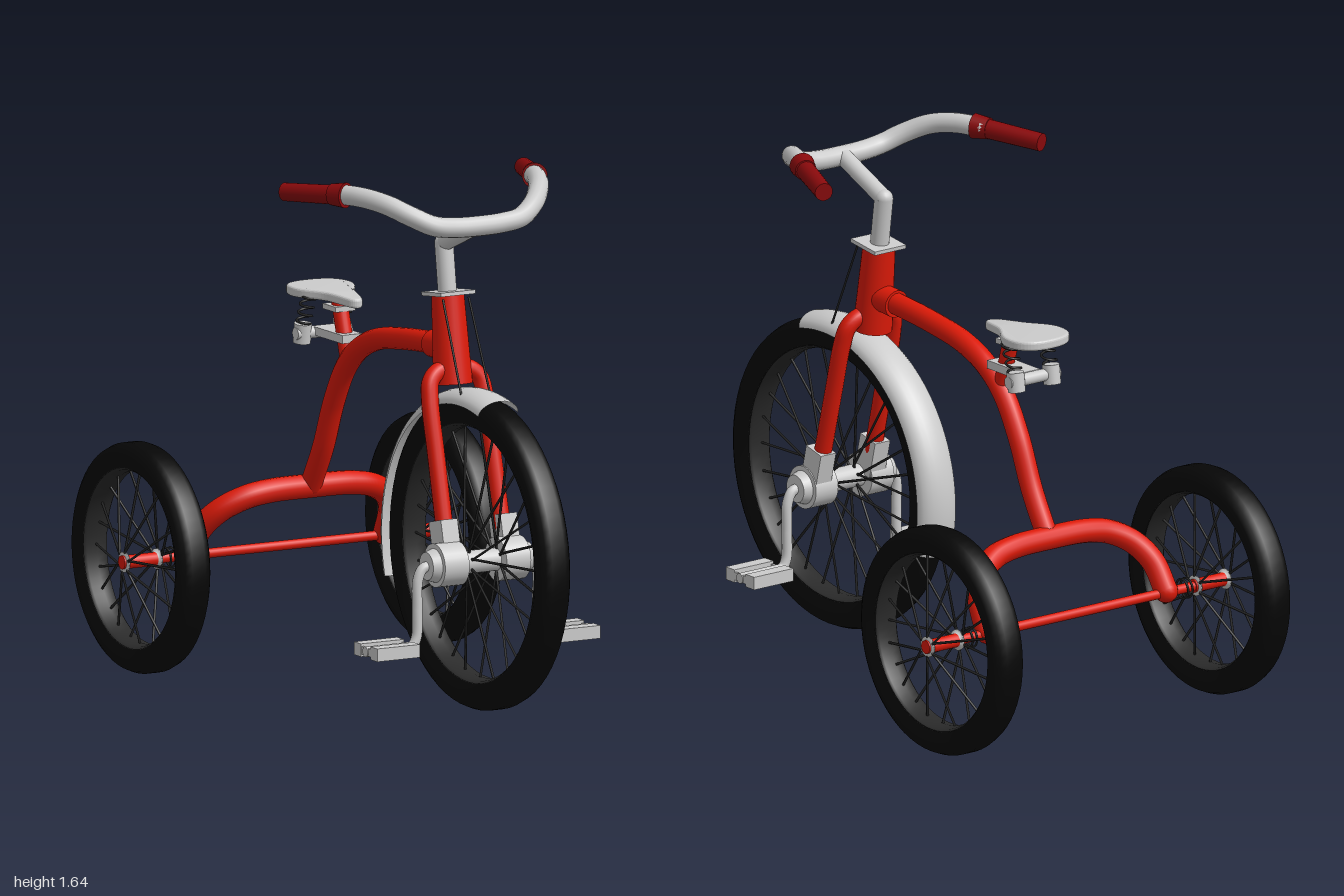
import * as THREE from 'three';

const mat = (color) => new THREE.MeshStandardMaterial({ color });
const V = (x, y, z) => new THREE.Vector3(x, y, z);

export function createModel() {
  const root = new THREE.Group();
  const grey = mat(0xcccccc), red = mat(0xdc1a08), grip = mat(0x8a0a0c);
  const black = mat(0x060606), dark = mat(0x222222);
  const thin = mat(0xcccccc), rimDark = mat(0x2a2a2a);
  thin.side = rimDark.side = THREE.DoubleSide;

  function add(parent, name, geometry, material, x = 0, y = 0, z = 0) {
    const m = new THREE.Mesh(geometry, material);
    m.name = name;
    m.position.set(x, y, z);
    parent.add(m);
    return m;
  }
  function group(name, x = 0, y = 0, z = 0) {
    const g = new THREE.Group();
    g.name = name;
    g.position.set(x, y, z);
    root.add(g);
    return g;
  }
  // Straight cylinder from a (radius ra) to b (radius rb)
  function rod(parent, name, a, b, ra, material, rb = ra, sides = 20) {
    const d = b.clone().sub(a);
    const m = add(parent, name, new THREE.CylinderGeometry(rb, ra, d.length(), sides), material);
    m.position.copy(a).add(b).multiplyScalar(0.5);
    m.quaternion.setFromUnitVectors(V(0, 1, 0), d.normalize());
    return m;
  }
  // Smooth bent tube with rounded ends
  function pipe(parent, name, pts, r, material, seg = 48) {
    const p = pts.map((q) => V(...q));
    const g = new THREE.Group();
    g.name = name;
    parent.add(g);
    const curve = new THREE.CatmullRomCurve3(p, false, 'centripetal');
    add(g, name + 'Tube', new THREE.TubeGeometry(curve, seg, r, 14), material);
    for (const e of [p[0], p[p.length - 1]])
      add(g, name + 'End', new THREE.SphereGeometry(r, 14, 10), material, e.x, e.y, e.z);
    return g;
  }
  // Lathe whose axis lies along x; points are [radius, x]
  function latheX(parent, name, pts, material, seg = 48, start = 0, length = Math.PI * 2) {
    const p = pts.map(([r, x]) => new THREE.Vector2(r, x));
    const m = add(parent, name, new THREE.LatheGeometry(p, seg, start, length), material);
    m.rotation.z = Math.PI / 2;
    return m;
  }

  // Spoked wheel: rounded tyre, rim, crossing spokes from flanges at +-flange
  function wheel(name, x, y, z, R, inner, w, count, flange, hubY, hubZ) {
    const g = group(name, x, y, z);
    const tyre = [[inner, -w * 0.72], [inner + 0.03, -w * 0.96], [(R + inner) / 2, -w], [R - 0.025, -w * 0.95],
      [R - 0.008, -w * 0.75], [R, -w * 0.4]];
    const mirror = tyre.map(([r, h]) => [r, -h]).reverse();
    latheX(g, 'tyre', [...tyre, ...mirror], black, 64);
    // Profile runs from +x to -x so the rim faces the hub
    latheX(g, 'rim', [[inner + 0.002, w * 0.74], [inner - 0.006, w * 0.6], [inner - 0.012, 0],
      [inner - 0.006, -w * 0.6], [inner + 0.002, -w * 0.74]], rimDark, 64);
    for (let i = 0; i < count; i++) {
      const a = (i / count) * Math.PI * 2, s = i % 2 ? 1 : -1;
      const b = a + (i % 4 < 2 ? 0.3 : -0.3);
      rod(g, 'spoke', V(s * flange, hubY + Math.sin(b) * 0.03, hubZ + Math.cos(b) * 0.03),
        V(0, Math.sin(a) * inner, Math.cos(a) * inner), 0.004, dark, 0.004, 6);
    }
    return g;
  }

  // Front wheel and its mudguard
  wheel('frontWheel', 0, 0.507, 0.52, 0.48, 0.395, 0.055, 28, 0.05, -0.02, 0.007);
  const guard = group('mudguard', 0, 0.501, 0.512);
  const arc = [];
  for (let i = 0; i <= 12; i++) {
    const a = (i / 12 - 0.5) * Math.PI;
    arc.push([0.462 + 0.045 * Math.cos(a), 0.07 * Math.sin(a)]);
  }
  latheX(guard, 'mudguardShell', arc, thin, 40, 1.31, 2.12);

  // Front hub, cranks and pedals
  const hub = group('frontHub', -0.013, 0.482, 0.527);
  rod(hub, 'hubShell', V(-0.07, 0, 0), V(0.07, 0, 0), 0.035, grey, 0.035, 24);
  for (const s of [-1, 1]) {
    rod(hub, 'hubDrum', V(s * 0.065, 0, 0), V(s * 0.15, 0, 0), 0.067, grey, 0.067, 28);
    rod(hub, 'hubCap', V(s * 0.15, 0, 0), V(s * 0.178, 0, 0), 0.052, grey, 0.043, 28);
    pipe(hub, 'crank', [[s * 0.16, 0, 0], [s * 0.19, -0.005, 0], [s * 0.208, -0.04, 0], [s * 0.21, -0.13, 0],
      [s * 0.213, -0.215, 0], [s * 0.228, -0.24, 0], [s * 0.26, -0.243, 0]], 0.016, grey);
    rod(hub, 'pedalAxle', V(s * 0.23, -0.243, 0), V(s * 0.392, -0.243, 0), 0.016, grey);
    for (const dz of [-0.049, 0.049])
      add(hub, 'pedalBlock', new THREE.BoxGeometry(0.15, 0.04, 0.042), grey, s * 0.315, -0.243, dz);
    for (const dx of [0.245, 0.385])
      add(hub, 'pedalPlate', new THREE.BoxGeometry(0.008, 0.024, 0.12), grey, s * dx, -0.243, 0);
  }

  // Fork and head
  const fork = group('fork');
  for (const s of [-1, 1]) {
    pipe(fork, 'forkLeg', [[0, 1.045, 0.36], [s * 0.05, 1.045, 0.362], [s * 0.085, 1.017, 0.37],
      [s * 0.096, 0.96, 0.385], [s * 0.098, 0.8, 0.425], [s * 0.1, 0.57, 0.482]], 0.027, red);
    const lug = add(fork, 'forkLug', new THREE.BoxGeometry(0.058, 0.12, 0.075), grey, s * 0.104, 0.55, 0.492);
    lug.rotation.x = -0.24;
    rod(fork, 'mudguardStay', V(s * 0.045, 1.265, 0.375), V(s * 0.05, 0.965, 0.505), 0.0035, dark, 0.0035, 6);
  }
  rod(fork, 'headTube', V(0, 1.0, 0.358), V(0, 1.27, 0.326), 0.06, red, 0.05, 28);
  const plate = add(fork, 'headPlate', new THREE.BoxGeometry(0.12, 0.012, 0.12), grey, 0, 1.275, 0.33);
  plate.rotation.x = -0.12;

  // Stem, handlebar and grips
  const bars = group('handlebars');
  rod(bars, 'stem', V(0, 1.26, 0.326), V(0, 1.425, 0.303), 0.029, grey);
  add(bars, 'stemElbow', new THREE.SphereGeometry(0.029, 16, 12), grey, 0, 1.425, 0.303);
  rod(bars, 'stemExtension', V(0, 1.425, 0.303), V(0, 1.508, 0.5), 0.027, grey);
  const half = [[0.08, 1.511, 0.51], [0.15, 1.521, 0.505], [0.21, 1.55, 0.475], [0.265, 1.583, 0.415],
    [0.305, 1.597, 0.34], [0.34, 1.597, 0.25]];
  const flip = half.map(([x, y, z]) => [-x, y, z]).reverse();
  pipe(bars, 'handlebar', [...flip, [0, 1.509, 0.512], ...half], 0.031, grey, 90);
  for (const s of [-1, 1]) {
    rod(bars, 'gripCollar', V(s * 0.33, 1.597, 0.282), V(s * 0.352, 1.595, 0.235), 0.039, grip, 0.033);
    rod(bars, 'grip', V(s * 0.345, 1.595, 0.25), V(s * 0.418, 1.581, 0.062), 0.03, grip, 0.028);
  }

  // Main frame: backbone, rear arch and axle
  const frame = group('frame');
  pipe(frame, 'backbone', [[0, 1.11, 0.33], [0, 1.105, 0.22], [0, 1.09, 0.06], [0, 1.065, -0.09], [0, 1.02, -0.2],
    [0, 0.95, -0.285], [0, 0.83, -0.36], [0, 0.68, -0.425], [0, 0.55, -0.5]], 0.034, red, 64);
  rod(frame, 'backboneCollar', V(0, 1.11, 0.32), V(0, 1.105, 0.24), 0.043, red);
  const leg = [[0.14, 0.543, -0.51], [0.22, 0.528, -0.52], [0.29, 0.49, -0.55], [0.332, 0.43, -0.595],
    [0.343, 0.347, -0.645]];
  const legFlip = leg.map(([x, y, z]) => [-x, y, z]).reverse();
  pipe(frame, 'rearArch', [...legFlip, [0, 0.546, -0.507], ...leg], 0.037, red, 90);
  rod(frame, 'rearAxle', V(-0.46, 0.342, -0.645), V(0.46, 0.342, -0.645), 0.015, red);

  // Rear wheels, hubs and axle rings
  for (const s of [-1, 1]) {
    const w = wheel('rearWheel', s * 0.513, 0.352, -0.64, 0.352, 0.275, 0.056, 24, 0.06, -0.01, -0.003);
    const rearHub = latheX(w, 'rearHub', [[0, -0.06], [0.016, -0.06], [0.032, -0.06], [0.032, -0.054], [0.018, -0.05],
      [0.018, 0.05], [0.032, 0.054], [0.032, 0.06], [0.016, 0.06], [0, 0.06]], grey, 20);
    rearHub.position.set(0, -0.01, -0.003);
    rod(w, 'axleNut', V(-0.066, -0.01, -0.003), V(0.066, -0.01, -0.003), 0.021, red);
    for (const x of [0.405, 0.422]) {
      const ring = add(frame, 'axleRing', new THREE.TorusGeometry(0.03, 0.0035, 6, 24), dark, s * x, 0.342, -0.645);
      ring.rotation.y = Math.PI / 2;
    }
  }

  // Saddle: pear-shaped pad on a post with coil springs
  const seat = group('seat');
  const outline = new THREE.Shape();
  outline.moveTo(0, 0.215);
  outline.bezierCurveTo(0.025, 0.215, 0.025, 0.26, 0.045, 0.32);
  outline.bezierCurveTo(0.065, 0.37, 0.1, 0.39, 0.1, 0.44);
  outline.bezierCurveTo(0.1, 0.51, 0.05, 0.525, 0, 0.525);
  outline.bezierCurveTo(-0.05, 0.525, -0.1, 0.51, -0.1, 0.44);
  outline.bezierCurveTo(-0.1, 0.39, -0.065, 0.37, -0.045, 0.32);
  outline.bezierCurveTo(-0.025, 0.26, -0.025, 0.215, 0, 0.215);
  const padGeometry = new THREE.ExtrudeGeometry(outline, {
    depth: 0.014, bevelEnabled: true, bevelSize: 0.008, bevelThickness: 0.008, bevelOffset: -0.004,
    bevelSegments: 3, curveSegments: 14 });
  // The outline runs back along -z after the quarter turn; the nose dips a little
  padGeometry.rotateX(-Math.PI / 2);
  const pos = padGeometry.attributes.position;
  for (let i = 0; i < pos.count; i++) {
    const nose = Math.max(0, (pos.getZ(i) + 0.4) / 0.19);
    pos.setY(i, pos.getY(i) - 0.012 * nose * nose);
  }
  padGeometry.computeVertexNormals();
  add(seat, 'saddle', padGeometry, grey, 0, 1.157, 0);
  rod(seat, 'seatPost', V(0, 0.97, -0.275), V(0, 1.152, -0.33), 0.025, red);
  add(seat, 'seatBracket', new THREE.BoxGeometry(0.07, 0.026, 0.17), grey, 0, 1.04, -0.335);
  add(seat, 'seatClamp', new THREE.BoxGeometry(0.07, 0.016, 0.08), grey, 0, 1.125, -0.33);
  rod(seat, 'springBar', V(-0.095, 1.035, -0.43), V(0.095, 1.035, -0.43), 0.019, grey);
  for (const s of [-1, 1]) {
    rod(seat, 'springSeat', V(s * 0.068, 1.005, -0.438), V(s * 0.068, 1.065, -0.43), 0.027, grey);
    const coil = [];
    for (let i = 0; i <= 48; i++) {
      const t = i / 48, a = t * Math.PI * 7;
      coil.push(V(s * 0.068 + Math.cos(a) * 0.022, 1.06 + 0.095 * t, -0.43 + 0.035 * t + Math.sin(a) * 0.022));
    }
    add(seat, 'coilSpring', new THREE.TubeGeometry(new THREE.CatmullRomCurve3(coil), 110, 0.004, 6), dark);
  }
  return root;
}
